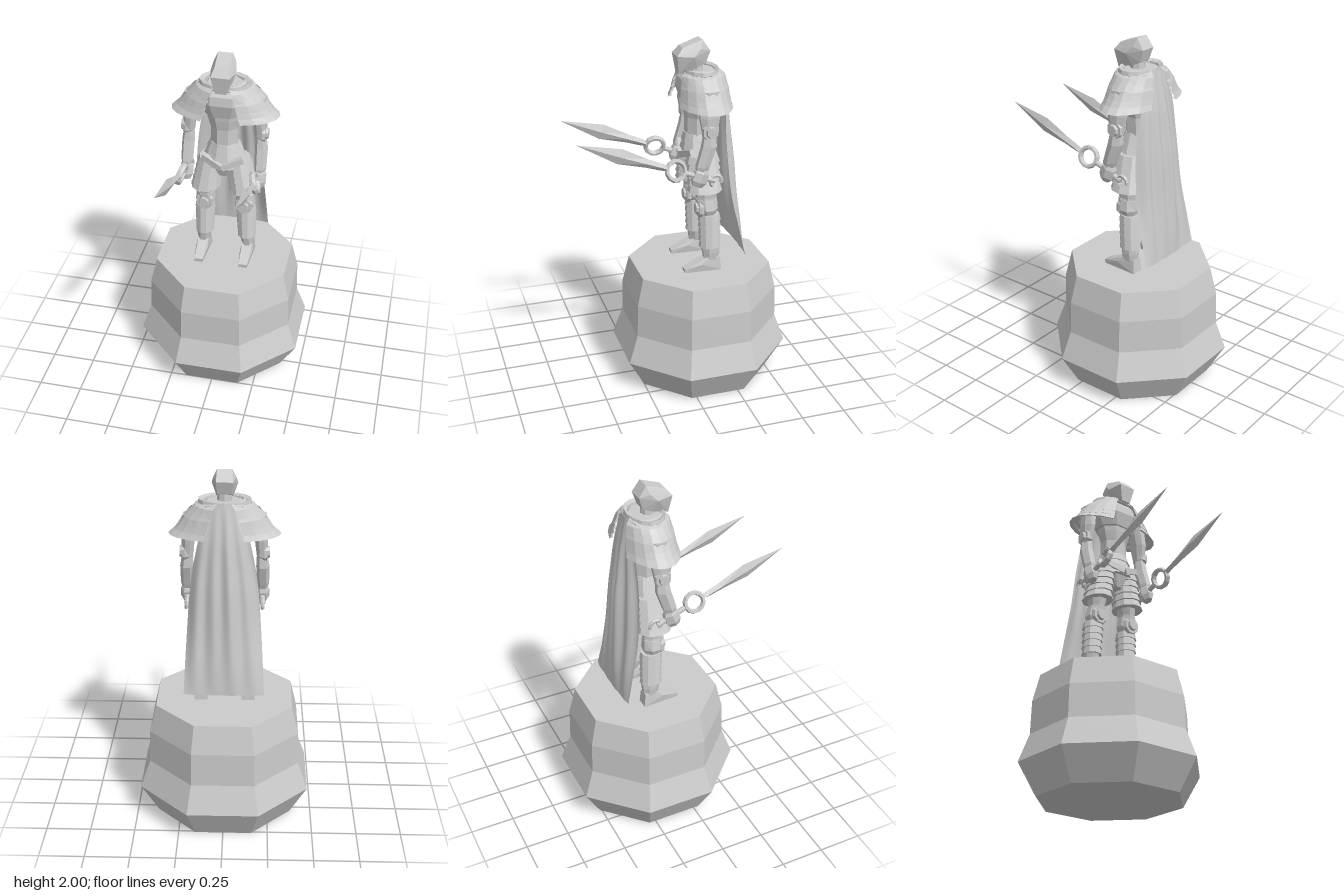
import * as THREE from 'three';
import { ConvexGeometry } from 'three/addons/geometries/ConvexGeometry.js';

const flat = new THREE.MeshStandardMaterial({ color: 0xcccccc, flatShading: true });
const flatDouble = new THREE.MeshStandardMaterial({ color: 0xcccccc, flatShading: true, side: THREE.DoubleSide });
const cloth = new THREE.MeshStandardMaterial({ color: 0xcccccc, side: THREE.DoubleSide });

function add(parent, name, geometry, material = flat) {
  const mesh = new THREE.Mesh(geometry, material);
  mesh.name = name;
  parent.add(mesh);
  return mesh;
}

// Surface through rows of points; flip reverses the facing.
function skin(rows, flip = false) {
  const w = rows[0].length, index = [];
  for (let j = 0; j < rows.length - 1; j++) {
    for (let i = 0; i < w - 1; i++) {
      const a = j * w + i, b = a + 1, c = b + w, d = a + w;
      index.push(...(flip ? [a, d, b, c, b, d] : [a, b, d, c, d, b]));
    }
  }
  const g = new THREE.BufferGeometry();
  g.setAttribute('position', new THREE.Float32BufferAttribute(rows.flat(2), 3));
  g.setIndex(index);
  g.computeVertexNormals();
  return g;
}

// Closed stack of n-sided rings, bottom to top: [y, rx, rz, cx, cz].
function stack(sections, n = 8, turn = Math.PI / n) {
  const first = sections[0], last = sections[sections.length - 1];
  const close = ([y, , , cx = 0, cz = 0]) => [y, 0, 0, cx, cz];
  return skin([close(first), ...sections, close(last)].map(([y, rx, rz, cx = 0, cz = 0]) =>
    Array.from({ length: n + 1 }, (_, i) => {
      const a = turn + (i % n) * 2 * Math.PI / n;
      return [cx + rx * Math.sin(a), y, cz + rz * Math.cos(a)];
    })));
}

// Overlapping plates between two sections, each flared at its lower edge.
function lames(bottom, top, count, flare) {
  const out = [];
  const at = (t) => bottom.map((v, k) => THREE.MathUtils.lerp(v, top[k], t));
  for (let i = 0; i < count; i++) {
    const [y, rx, rz, cx, cz] = at(i / count);
    out.push([y, rx * flare, rz * flare, cx, cz], at((i + 1) / count));
  }
  return stack(out, 10);
}

const hull = (points) => new ConvexGeometry(points.map((p) => new THREE.Vector3(...p)));
const mirrored = (points) => hull(points.flatMap(([x, y, z]) => [[x, y, z], [-x, y, z]]));

// Round joint plate with a raised boss, facing along z.
function jointPlate(r) {
  return stack([[-0.03, r * 0.8, r * 0.8], [0, r, r * 1.15], [0.015, r * 0.9, r], [0.015, r * 0.6, r * 0.7],
    [0.03, r * 0.5, r * 0.6]]).rotateX(Math.PI / 2);
}

function addPauldron(parent, s) {
  // Each plate: [rx, rz, y] from its top to its rim, then tucked under
  const plates = [
    [[0.1, 0.1, 1.84], [0.16, 0.13, 1.815], [0.215, 0.142, 1.755]],
    [[0.19, 0.13, 1.79], [0.22, 0.143, 1.755], [0.245, 0.15, 1.715]],
    [[0.21, 0.137, 1.75], [0.24, 0.147, 1.72], [0.267, 0.154, 1.685]],
    [[0.23, 0.14, 1.715], [0.265, 0.15, 1.685], [0.3, 0.16, 1.655]],
  ];
  for (const plate of plates) {
    const [rx, rz, y] = plate[2];
    const rows = [...plate, [rx - 0.025, rz - 0.02, y + 0.008]].map(([ex, ez, ey]) =>
      Array.from({ length: 9 }, (_, i) => {
        const a = (i / 8 - 0.5) * 2.4;
        return [s * ex * Math.cos(a), ey, -0.13 + ez * Math.sin(a)];
      }));
    add(parent, 'pauldronPlate', skin(rows, s < 0), flatDouble);
  }
}

function addArm(parent, s) {
  add(parent, 'upperArm', stack([[1.52, 0.03, 0.04, s * 0.2, -0.12], [1.62, 0.038, 0.06, s * 0.195, -0.12],
    [1.76, 0.045, 0.06, s * 0.18, -0.13]]));
  add(parent, 'elbowPlate', jointPlate(0.05).rotateY(s * Math.PI / 2)).position.set(s * 0.212, 1.545, -0.12);
  add(parent, 'forearm', stack([[1.3, 0.024, 0.03, s * 0.205, -0.07], [1.35, 0.034, 0.042, s * 0.207, -0.08],
    [1.46, 0.036, 0.045, s * 0.205, -0.115], [1.54, 0.028, 0.035, s * 0.2, -0.12]], 6));
  const hand = add(parent, 'hand', stack([[-0.05, 0.024, 0.03], [-0.02, 0.038, 0.048], [0.03, 0.036, 0.045],
    [0.05, 0.026, 0.03]], 6));
  hand.position.set(s * 0.207, 1.285, -0.065);
  hand.rotation.x = -0.36;
}

// Ring-guarded short blade, built along +z from the ring centre
function addWeapon(parent, s) {
  const g = new THREE.Group();
  g.name = 'ringBlade';
  g.position.set(s * 0.205, 1.34, 0.07);
  g.rotation.x = -0.36;
  parent.add(g);
  const ring = add(g, 'ringGuard', new THREE.TorusGeometry(0.053, 0.013, 6, 12).scale(1, 1, 1.5).rotateY(Math.PI / 2));
  ring.rotation.z = s * 0.3;
  add(g, 'blade', stack([[0.055, 0.02, 0.016], [0.09, 0.016, 0.02], [0.17, 0.016, 0.024], [0.33, 0.016, 0.043],
    [0.57, 0.001, 0.001]], 4, 0).rotateX(Math.PI / 2));
  add(g, 'handle', new THREE.CylinderGeometry(0.014, 0.016, 0.18, 8).rotateX(Math.PI / 2)).position.z = -0.145;
  add(g, 'pommelHook', new THREE.TorusGeometry(0.032, 0.011, 5, 9, 4.4).rotateY(Math.PI / 2)).position.z = -0.245;
}

function addLeg(parent, s) {
  add(parent, 'thighPlates', lames([1.17, 0.076, 0.088, s * 0.11, -0.125], [1.37, 0.062, 0.085, s * 0.08, -0.12], 5, 1.14));
  add(parent, 'lowerThigh', stack([[1.04, 0.045, 0.055, s * 0.117, -0.14], [1.13, 0.045, 0.06, s * 0.112, -0.135],
    [1.2, 0.06, 0.07, s * 0.105, -0.13]]));
  add(parent, 'kneePlate', jointPlate(0.052)).position.set(s * 0.115, 1.065, -0.1);
  add(parent, 'kneeBand', stack([[1.03, 0.045, 0.05, s * 0.118, -0.14], [1.06, 0.06, 0.06, s * 0.116, -0.14],
    [1.12, 0.05, 0.062, s * 0.113, -0.135]]));
  add(parent, 'shinPlates', lames([0.83, 0.048, 0.056, s * 0.125, -0.155], [1.03, 0.054, 0.058, s * 0.12, -0.15], 5, 1.14));
  add(parent, 'ankle', stack([[0.75, 0.033, 0.045, s * 0.133, -0.16], [0.8, 0.042, 0.052, s * 0.13, -0.16],
    [0.85, 0.048, 0.056, s * 0.125, -0.155]]));
  const foot = [[0.69, 0.0], [0.712, 0.002], [0.735, -0.095], [0.77, -0.13], [0.77, -0.205], [0.69, -0.212]];
  add(parent, 'foot', hull(foot.flatMap(([y, z]) => {
    const half = z > -0.05 ? 0.024 : y > 0.75 ? 0.03 : 0.036;
    return [[s * 0.132 - half, y, z], [s * 0.132 + half, y, z]];
  })));
}

function addCape(parent) {
  // Rows from collar to hem: [y, half width, z at centre, forward wrap at the edges]
  const rows = [[1.83, 0.1, -0.235, 0.02], [1.65, 0.135, -0.27, 0.035], [1.5, 0.165, -0.29, 0.055],
    [1.35, 0.185, -0.308, 0.065], [1.15, 0.2, -0.322, 0.06], [0.95, 0.212, -0.338, 0.035], [0.79, 0.22, -0.346, 0.01]];
  const curves = [1, 2, 3].map((k) => new THREE.SplineCurve(rows.map((r) => new THREE.Vector2(r[0], r[k]))));
  const points = [];
  for (let j = 0; j <= 24; j++) {
    const t = j / 24;
    const [w, z, wrap] = curves.map((c) => c.getPoint(t));
    points.push(Array.from({ length: 41 }, (_, i) => {
      const u = i / 20 - 1;
      const fold = 0.009 * Math.sin(t * 3) * (Math.sin(u * 13 + t * 1.5) + 0.6 * Math.sin(u * 7 - t));
      return [u * w.y, w.x, z.y + wrap.y * u * u + fold];
    }));
  }
  add(parent, 'cape', skin(points, true), cloth);
}

export function createModel() {
  const model = new THREE.Group();
  model.name = 'armouredStatue';

  // Octagonal pedestal
  const k = 1 / Math.cos(Math.PI / 8);
  add(model, 'pedestal', stack([[0, 0.38], [0.18, 0.475], [0.34, 0.42], [0.53, 0.415], [0.69, 0.378]]
    .map(([y, r]) => [y, r * k, r * k, 0, -0.13])));

  // Torso
  add(model, 'abdomen', stack([[1.46, 0.08, 0.078, 0, -0.12], [1.57, 0.08, 0.075, 0, -0.12],
    [1.63, 0.098, 0.085, 0, -0.12], [1.69, 0.11, 0.09, 0, -0.12]]));
  add(model, 'breastplate', stack([[1.66, 0.12, 0.1, 0, -0.12], [1.74, 0.165, 0.128, 0, -0.125],
    [1.79, 0.16, 0.12, 0, -0.125], [1.83, 0.1, 0.085, 0, -0.125]]));
  add(model, 'waistPlates', lames([1.34, 0.125, 0.1, 0, -0.12], [1.48, 0.08, 0.08, 0, -0.12], 3, 1.08));
  add(model, 'pelvis', stack([[1.27, 0.04, 0.06, 0, -0.12], [1.36, 0.12, 0.095, 0, -0.12]]));
  for (const s of [1, -1]) {
    const belt = add(model, 'beltPlate', new THREE.BoxGeometry(0.125, 0.035, 0.03));
    belt.position.set(s * 0.056, 1.375, -0.035);
    belt.rotation.set(0, s * 0.3, s * 0.35);
  }

  // Collar, neck and hooded head
  const collar = [[0.115, 1.8], [0.145, 1.825], [0.14, 1.845], [0.115, 1.835], [0.11, 1.8]];
  const ring = new THREE.LatheGeometry(collar.map((p) => new THREE.Vector2(...p)), 14).scale(1, 1, 0.72);
  add(model, 'collar', ring, flatDouble).position.z = -0.125;
  add(model, 'neck', new THREE.CylinderGeometry(0.036, 0.045, 0.12, 8)).position.set(0, 1.84, -0.105);
  add(model, 'head', mirrored([[0.03, 1.82, 0], [0.052, 1.92, 0.014], [0.036, 1.962, -0.02], [0.04, 2, -0.13],
    [0.045, 1.94, -0.172], [0.038, 1.87, -0.15], [0.07, 1.915, -0.075], [0.06, 1.955, -0.115], [0.045, 1.85, -0.1]]));

  for (const s of [1, -1]) {
    const side = new THREE.Group();
    side.name = s > 0 ? 'leftSide' : 'rightSide';
    model.add(side);
    addPauldron(side, s);
    addArm(side, s);
    addWeapon(side, s);
    addLeg(side, s);
  }
  addCape(model);
  return model;
}
